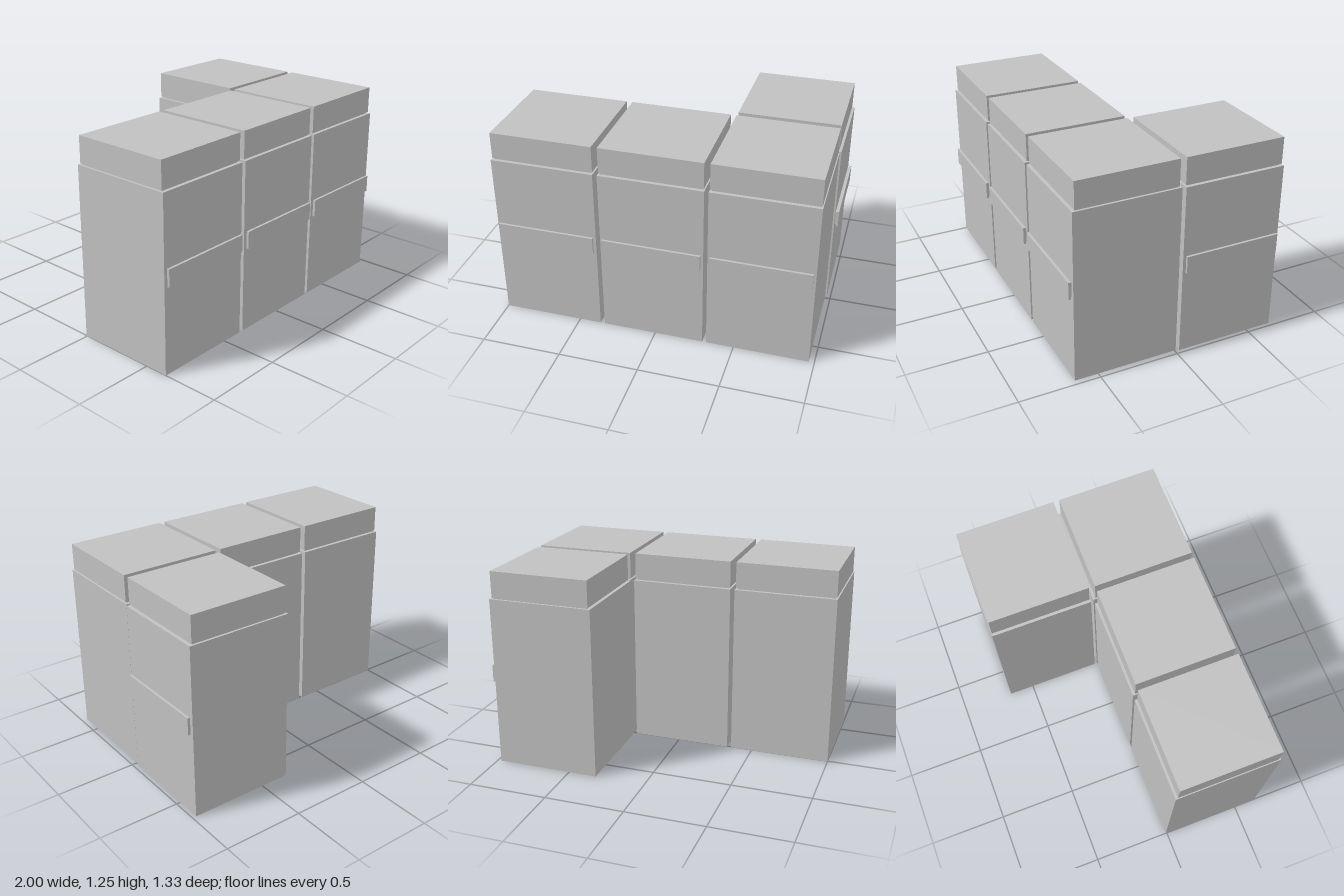
import * as THREE from 'three';

export function createModel() {
  const model = new THREE.Group();
  model.name = 'cabinetRow';
  const grey = new THREE.MeshStandardMaterial({ color: 0xc0c0c0 });
  grey.name = 'light grey';

  // Box given by its width, height, depth and centre
  function box(parent, name, w, h, d, x, y, z) {
    const mesh = new THREE.Mesh(new THREE.BoxGeometry(w, h, d), grey);
    mesh.name = name;
    mesh.position.set(x, y, z);
    parent.add(mesh);
  }

  // One cabinet, with its handle on the local +z face
  function cabinet(name, x, z, turn, width, depth) {
    const unit = new THREE.Group();
    unit.name = name;
    box(unit, 'body', width, 1.08, depth, 0, 0.54, 0);
    box(unit, 'neck', 0.61, 0.012, 0.61, 0, 1.084, 0);
    box(unit, 'lid', 0.628, 0.165, 0.625, 0, 1.1705, 0);
    box(unit, 'handleMount', 0.59, 0.09, 0.01, 0, 0.595, depth / 2 + 0.004);
    box(unit, 'handle', 0.608, 0.108, 0.015, 0, 0.595, depth / 2 + 0.0145);
    unit.position.set(x, 0, z);
    unit.rotation.y = turn;
    model.add(unit);
  }

  // Front row, then the corner return facing the left side
  [-0.681, -0.016, 0.647].forEach((x, i) => cabinet('frontCabinet' + (i + 1), x, 0.319, 0, 0.638, 0.655));
  cabinet('returnCabinet', 0.648, -0.346, Math.PI / 2, 0.638, 0.655);
  return model;
}
